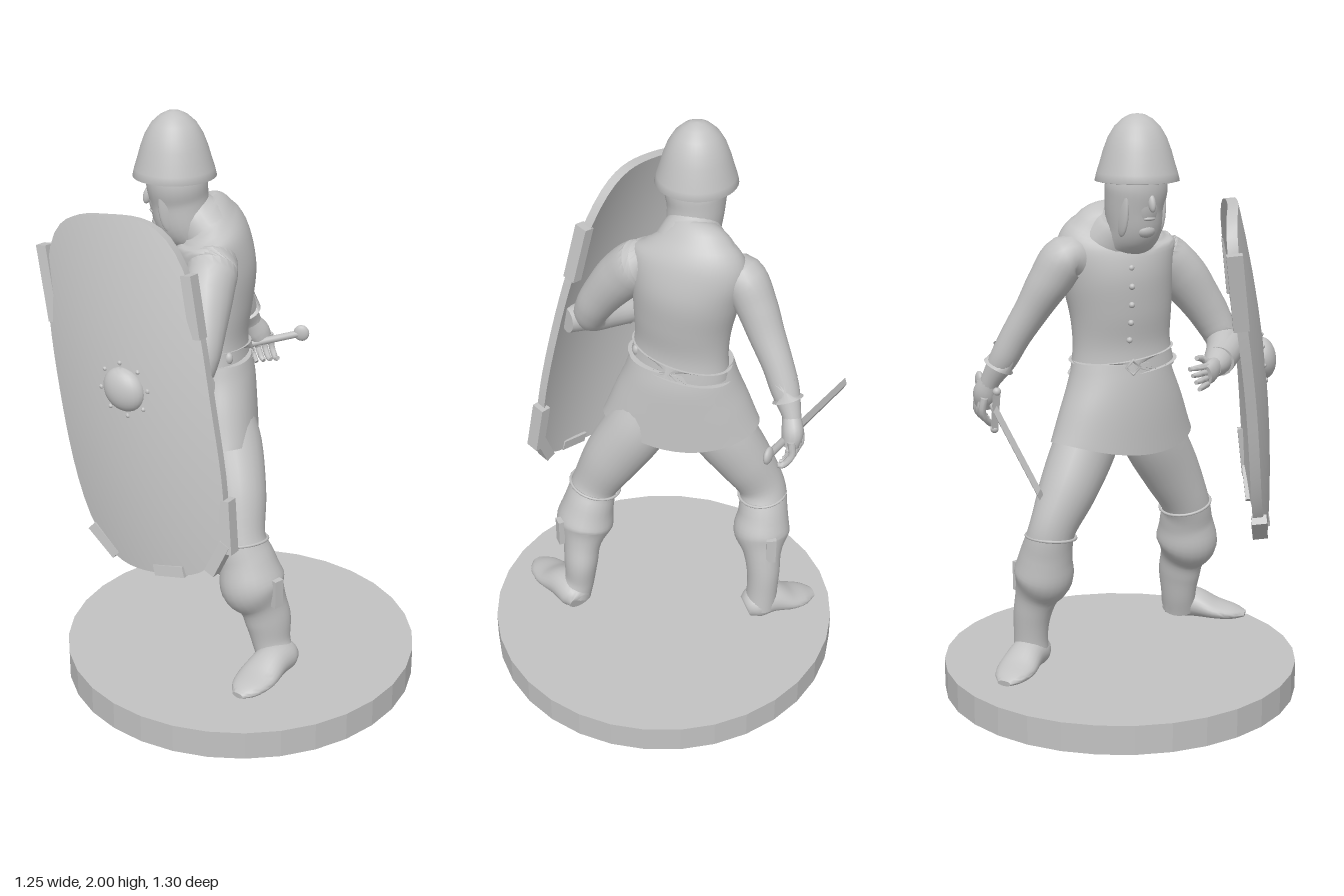
import * as THREE from 'three';
import { toCreasedNormals } from 'three/addons/utils/BufferGeometryUtils.js';

const V = (x, y, z) => new THREE.Vector3(x, y, z);
const stone = new THREE.MeshStandardMaterial({ color: 0xc2c2c2 });
stone.name = 'plain grey';

// Closed smooth body swept through points [x, y, z, depth, width]; depth lies along ref.
function loft(pts, ref, sides = 24, steps = 5) {
  const path = new THREE.CatmullRomCurve3(pts.map(p => V(p[0], p[1], p[2])), false, 'catmullrom');
  const size = new THREE.CatmullRomCurve3(pts.map(p => V(p[3], p[4] ?? p[3], 0)), false, 'catmullrom');
  const n = (pts.length - 1) * steps, pos = [], idx = [];
  for (let i = 0; i <= n; i++) {
    const c = path.getPoint(i / n), t = path.getTangent(i / n), s = size.getPoint(i / n);
    const B = t.clone().cross(ref).normalize(), N = B.clone().cross(t);
    for (let j = 0; j < sides; j++) {
      const a = j / sides * Math.PI * 2;
      const p = c.clone().addScaledVector(N, Math.cos(a) * s.x).addScaledVector(B, Math.sin(a) * s.y);
      pos.push(p.x, p.y, p.z);
      const k = (j + 1) % sides, q = i * sides;
      if (i < n) idx.push(q + j, q + k, q + sides + k, q + j, q + sides + k, q + sides + j);
    }
  }
  const a = path.getPoint(0), b = path.getPoint(1), m = pos.length / 3;
  pos.push(a.x, a.y, a.z, b.x, b.y, b.z);
  for (let j = 0; j < sides; j++) {
    const k = (j + 1) % sides;
    idx.push(m, k, j, m + 1, n * sides + j, n * sides + k);
  }
  const g = new THREE.BufferGeometry();
  g.setAttribute('position', new THREE.Float32BufferAttribute(pos, 3));
  g.setIndex(idx);
  return g;
}
const finish = (g, crease = 0.9) => toCreasedNormals(g.index ? g.toNonIndexed() : g, crease);

export function createModel() {
  const model = new THREE.Group();
  const add = (name, geo, parent = model) => {
    const m = new THREE.Mesh(geo, stone);
    m.name = name;
    parent.add(m);
    return m;
  };
  const limb = (name, pts, ref, sides, steps) => add(name, finish(loft(pts, ref, sides, steps)));
  const ball = (name, p, sx, sy, sz, parent) => {
    const m = add(name, new THREE.SphereGeometry(1, 20, 14), parent);
    m.position.set(...p);
    m.scale.set(sx, sy, sz);
    return m;
  };
  const lathe = (pts, sides) => new THREE.LatheGeometry(pts.map(p => new THREE.Vector2(...p)), sides);
  const up = V(0, 1, 0), front = V(-1, 0, 0), chest = V(-0.85, 0, -0.53), hips = V(-0.97, 0, -0.24);

  // Round base
  add('base', finish(new THREE.CylinderGeometry(0.617, 0.617, 0.1, 32), 0.1)).position.set(0.004, 0.05, 0.034);

  // Jerkin, belt and skirt
  limb('jerkin', [[-0.06, 1.16, -0.03, 0.115, 0.178], [-0.06, 1.25, -0.035, 0.11, 0.166], [-0.06, 1.36, -0.04, 0.127, 0.173],
    [-0.055, 1.48, -0.05, 0.137, 0.19], [-0.055, 1.58, -0.06, 0.118, 0.2], [-0.07, 1.635, -0.065, 0.088, 0.15], [-0.1, 1.68, -0.07, 0.065, 0.08]], chest, 40);
  const skirt = loft([[-0.06, 1.19, -0.035, 0.12, 0.176], [-0.06, 1.12, -0.035, 0.133, 0.197], [-0.063, 1.02, -0.035, 0.141, 0.232], [-0.063, 0.885, -0.035, 0.146, 0.272]], hips, 48);
  const sp = skirt.attributes.position;
  for (let i = 0; i < sp.count; i++) {
    const f = Math.max(0, (1.15 - sp.getY(i)) / 0.27), z = (sp.getZ(i) + 0.035) / 0.27;
    sp.setY(i, sp.getY(i) + 0.055 * f * z * z);
  }
  add('skirt', finish(skirt));
  limb('belt', [[-0.06, 1.165, -0.03, 0.13, 0.188], [-0.06, 1.21, -0.037, 0.121, 0.18]], chest, 40, 1);
  const F = chest.clone().normalize(), yaw = Math.atan2(F.x, F.z);
  const onChest = (mesh, x, y, z, d) => { mesh.position.set(x + F.x * d, y, z + F.z * d); mesh.rotation.y = yaw; };
  onChest(add('beltBuckle', new THREE.TorusGeometry(0.024, 0.006, 6, 4)), -0.06, 1.18, -0.035, 0.126);
  [0.113, 0.128, 0.137, 0.139, 0.13, 0.11].forEach((d, i) =>
    onChest(ball('button', [0, 0, 0], 0.01, 0.01, 0.01), -0.058, 1.27 + i * 0.06, -0.045, d));
  for (let i = 0; i < 3; i++) ball('beltStud', [-0.155 + i * 0.04, 1.2 + i * 0.006, 0.045 + i * 0.035], 0.014, 0.02, 0.014);

  // Collar, coif and head
  limb('collar', [[-0.085, 1.615, -0.068, 0.1, 0.13], [-0.115, 1.655, -0.075, 0.09, 0.1], [-0.13, 1.68, -0.08, 0.075, 0.08]], hips);
  limb('coif', [[-0.12, 1.59, -0.075, 0.07, 0.085], [-0.15, 1.64, -0.082, 0.092, 0.09], [-0.16, 1.71, -0.09, 0.096, 0.095],
    [-0.168, 1.77, -0.09, 0.1, 0.102], [-0.172, 1.83, -0.092, 0.09, 0.09]], hips);
  const head = new THREE.Group();
  head.name = 'face';
  head.position.set(-0.162, 1.72, -0.09);
  head.rotation.y = Math.atan2(-0.95, -0.3);
  model.add(head);
  ball('faceFront', [0, 0.01, 0.03], 0.07, 0.115, 0.069, head);
  ball('chin', [0, -0.085, 0.06], 0.036, 0.026, 0.028, head);
  ball('nose', [0, 0.005, 0.1], 0.012, 0.03, 0.015, head).rotation.x = -0.25;
  ball('mouth', [0, -0.046, 0.085], 0.022, 0.007, 0.01, head);
  for (const s of [-1, 1]) {
    ball('brow', [s * 0.028, 0.05, 0.085], 0.024, 0.009, 0.012, head);
    ball('eye', [s * 0.027, 0.03, 0.083], 0.012, 0.007, 0.008, head);
    ball('cheekFlap', [s * 0.07, -0.005, 0.03], 0.014, 0.1, 0.042, head);
  }

  // Helmet with flared brim
  const helmet = lathe([[0.1, 1.8], [0.128, 1.788], [0.136, 1.79], [0.13, 1.815], [0.119, 1.85], [0.109, 1.885], [0.094, 1.925],
    [0.073, 1.96], [0.046, 1.985], [0.022, 1.997], [0, 2]], 40);
  add('helmet', helmet).position.set(-0.174, 0, -0.093);
  const lining = add('helmetLining', new THREE.CircleGeometry(0.128, 40));
  lining.position.set(-0.174, 1.792, -0.093);
  lining.rotation.x = Math.PI / 2;

  // Legs with a baggy roll at the knee
  limb('leftLeg', [[-0.07, 1.02, 0.06, 0.09, 0.1], [-0.07, 0.9, 0.115, 0.106, 0.113], [-0.083, 0.76, 0.2, 0.098, 0.105], [-0.1, 0.63, 0.265, 0.086, 0.084],
    [-0.085, 0.55, 0.293, 0.097, 0.09], [-0.072, 0.47, 0.312, 0.112, 0.102], [-0.043, 0.4, 0.325, 0.084, 0.069], [-0.024, 0.33, 0.332, 0.08, 0.061],
    [-0.015, 0.25, 0.34, 0.067, 0.054], [-0.005, 0.19, 0.36, 0.064, 0.06]], front);
  limb('rightLeg', [[-0.03, 1.02, -0.11, 0.09, 0.1], [-0.015, 0.9, -0.17, 0.1, 0.112], [-0.01, 0.77, -0.25, 0.094, 0.1], [0.0, 0.65, -0.315, 0.074, 0.083],
    [0.025, 0.555, -0.32, 0.088, 0.088], [0.045, 0.475, -0.314, 0.1, 0.1], [0.075, 0.405, -0.315, 0.078, 0.069], [0.095, 0.33, -0.318, 0.067, 0.059],
    [0.105, 0.25, -0.315, 0.061, 0.055], [0.108, 0.18, -0.31, 0.063, 0.058]], front);
  limb('leftBoot', [[0.05, 0.19, 0.345, 0.035, 0.04], [0.02, 0.2, 0.36, 0.052, 0.058], [-0.04, 0.205, 0.395, 0.054, 0.062], [-0.11, 0.185, 0.435, 0.034, 0.07],
    [-0.17, 0.175, 0.47, 0.023, 0.054], [-0.207, 0.17, 0.49, 0.01, 0.022]], up);
  limb('rightBoot', [[0.12, 0.175, -0.255, 0.035, 0.042], [0.112, 0.188, -0.29, 0.055, 0.061], [0.092, 0.19, -0.35, 0.054, 0.061], [0.07, 0.168, -0.42, 0.034, 0.068],
    [0.052, 0.157, -0.475, 0.022, 0.054], [0.042, 0.15, -0.513, 0.01, 0.025]], up);
  // Garters and knee buckles
  for (const [x, y, z, r, lean] of [[-0.098, 0.62, 0.268, 0.09, 0.25], [0.006, 0.62, -0.317, 0.083, -0.1]]) {
    const g = add('garter', new THREE.TorusGeometry(r, 0.005, 8, 28));
    g.position.set(x, y, z);
    g.rotation.x = Math.PI / 2 - lean;
  }
  for (const [x, y, z, yawK] of [[-0.025, 0.47, 0.402, 0.3], [0.14, 0.46, -0.335, 1.5]]) {
    const strap = add('kneeStrap', new THREE.BoxGeometry(0.035, 0.1, 0.02));
    strap.position.set(x, y, z);
    strap.rotation.y = yawK;
  }

  // Right arm reaching down and back
  limb('rightArm', [[-0.02, 1.52, -0.17, 0.06, 0.06], [0.015, 1.535, -0.222, 0.08, 0.076], [0.055, 1.46, -0.262, 0.072, 0.069], [0.1, 1.37, -0.294, 0.057, 0.06],
    [0.145, 1.28, -0.327, 0.05, 0.052], [0.182, 1.2, -0.35, 0.046, 0.047], [0.222, 1.13, -0.367, 0.034, 0.032], [0.24, 1.09, -0.368, 0.03, 0.03]], front, 20);
  limb('rightCuff', [[0.17, 1.235, -0.342, 0.05], [0.197, 1.175, -0.357, 0.053]], front, 20, 1);
  limb('rightPalm', [[0.222, 1.13, -0.367, 0.03], [0.25, 1.08, -0.368, 0.043, 0.036], [0.265, 1.035, -0.36, 0.033, 0.028]], front, 14);
  for (let i = 0; i < 4; i++) {
    const x = 0.225 + i * 0.022, z = -0.372 + i * 0.013;
    limb('rightFinger', [[x, 1.07, z - 0.025, 0.013], [x + 0.008, 1.02, z - 0.028, 0.012], [x + 0.01, 0.985, z, 0.011], [x + 0.012, 0.97 + i * 0.006, z + 0.02, 0.008]], front, 8, 3);
  }

  // Left arm bent behind the shield
  limb('leftArm', [[-0.075, 1.53, 0.02, 0.05, 0.05], [-0.115, 1.53, 0.085, 0.08, 0.08], [-0.16, 1.46, 0.15, 0.085, 0.078], [-0.2, 1.37, 0.208, 0.073, 0.07],
    [-0.23, 1.295, 0.245, 0.064, 0.064], [-0.26, 1.235, 0.255, 0.056, 0.056], [-0.305, 1.21, 0.195, 0.053, 0.053], [-0.35, 1.19, 0.11, 0.046, 0.046], [-0.375, 1.18, 0.05, 0.03, 0.03]], V(0.6, 0.5, -0.6), 20);
  limb('leftCuff', [[-0.25, 1.225, 0.34, 0.044], [-0.295, 1.215, 0.25, 0.053], [-0.35, 1.19, 0.12, 0.051]], up, 18, 3);
  limb('leftPalm', [[-0.365, 1.19, 0.08, 0.026], [-0.385, 1.18, 0.035, 0.038, 0.024], [-0.395, 1.17, -0.005, 0.034, 0.018]], up, 14);
  for (let i = 0; i < 4; i++) {
    const y = 1.14 + i * 0.02;
    limb('leftFinger', [[-0.39, y, 0.005, 0.011], [-0.405 + i * 0.006, y, -0.035, 0.01], [-0.42 + i * 0.014, y, -0.075, 0.007]], up, 8, 3);
  }
  limb('leftThumb', [[-0.37, 1.2, 0.04, 0.013], [-0.36, 1.22, 0.01, 0.011], [-0.365, 1.225, -0.02, 0.008]], up, 8, 3);

  // Sword pointing forward and down
  const sword = new THREE.Group();
  sword.name = 'sword';
  sword.position.set(0.375, 1.09, -0.27);
  sword.lookAt(-0.255, 0.885, -0.643);
  model.add(sword);
  ball('pommel', [0, 0, 0], 0.014, 0.03, 0.028, sword);
  const grip = add('grip', new THREE.CylinderGeometry(0.013, 0.013, 0.22, 12), sword);
  grip.rotation.x = Math.PI / 2;
  grip.position.z = 0.11;
  add('guard', new THREE.BoxGeometry(0.02, 0.13, 0.02), sword).position.z = 0.22;
  for (const s of [-1, 1]) ball('guardEnd', [0, s * 0.07, 0.22], 0.014, 0.014, 0.014, sword);
  const blade = add('blade', finish(new THREE.CylinderGeometry(0.021, 0.023, 0.535, 4), 0.2), sword);
  blade.rotation.x = Math.PI / 2;
  blade.scale.x = 0.45;
  blade.position.z = 0.488;

  // Dished shield, long and round-cornered, leaning on the left arm
  const w = V(0.63, 0.09, 0.76), v = V(-0.05, 0.97, -0.24), n = w.clone().cross(v).normalize();
  const frame = new THREE.Matrix4().makeBasis(w, v, n).setPosition(-0.42, 1.16, 0.17);
  const dish = (a, b) => 0.05 - 0.05 * (a / 0.28) ** 2 - 0.04 * (b / 0.585) ** 2;
  const shield = new THREE.Group();
  shield.name = 'shield';
  model.add(shield);
  const rs = [0, 0.2, 0.4, 0.6, 0.8, 0.94, 1];
  const plate = lathe([...rs.map(r => [r, -0.017]), ...rs.slice().reverse().map(r => [r, 0.017])], 64);
  const pp = plate.attributes.position;
  for (let i = 0; i < pp.count; i++) {
    const x = pp.getX(i), z = -pp.getZ(i), r = Math.hypot(x, z);
    const k = r > 0 ? (Math.abs(x / r) ** 3.4 + Math.abs(z / r) ** 3.4) ** (-1 / 3.4) : 0;
    const a = 0.28 * x * k, b = 0.585 * z * k;
    pp.setXYZ(i, a, b, pp.getY(i) + dish(a, b));
  }
  add('shieldBoard', finish(plate.applyMatrix4(frame), 0.6), shield);
  const onShield = (name, geo, a, b, lift = 0, turn = 0) =>
    add(name, finish(geo.rotateZ(turn).translate(a, b, dish(a, b) + lift).applyMatrix4(frame), 0.6), shield);
  onShield('boss', new THREE.SphereGeometry(0.072, 24, 16).scale(1, 1, 0.6), 0, 0.04, 0.012);
  for (let i = 0; i < 8; i++) {
    const t = i / 8 * Math.PI * 2;
    onShield('bossRivet', new THREE.SphereGeometry(0.008, 8, 6), 0.085 * Math.cos(t), 0.04 + 0.085 * Math.sin(t), 0.015);
  }
  // Edge clips
  for (const [a, b, len, turn] of [[-0.26, 0.35, 0.25, 0], [0.26, 0.31, 0.2, 0], [0.262, -0.4, 0.18, -0.1], [0.215, -0.51, 0.13, -0.6],
    [-0.205, -0.505, 0.12, 0.7], [0.04, -0.57, 0.11, -1.5]])
    onShield('edgeClip', new THREE.BoxGeometry(0.036, len, 0.05), a, b, 0, turn);
  return model;
}
